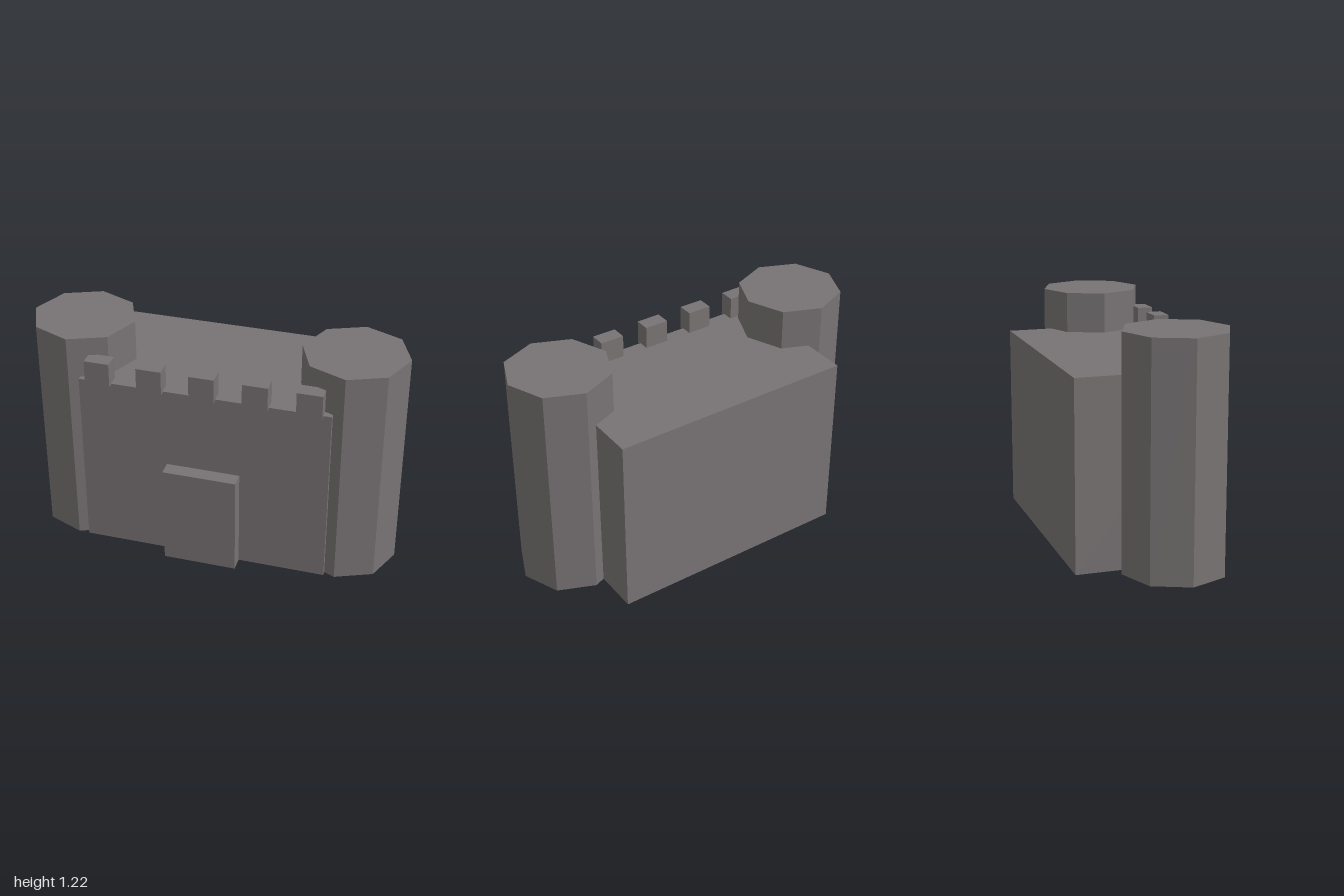
import * as THREE from 'three';

export function createModel() {
  const group = new THREE.Group();
  group.name = 'castle';
  const stone = new THREE.MeshStandardMaterial({ color: 0x787374 });
  stone.name = 'stoneGrey';
  stone.flatShading = true;

  const add = (name, geometry, x, y, z) => {
    const mesh = new THREE.Mesh(geometry, stone);
    mesh.name = name;
    mesh.position.set(x, y, z);
    group.add(mesh);
  };

  // Main hall
  add('keep', new THREE.BoxGeometry(1.332, 1, 0.775), 0, 0.5, -0.04);

  // Gate block, set into the front wall
  add('gate', new THREE.BoxGeometry(0.394, 0.556, 0.16), 0, 0.278, 0.347);

  // Eight-sided corner towers
  const tower = new THREE.CylinderGeometry(0.277, 0.277, 1.223, 8);
  for (const side of [-1, 1]) {
    add(side > 0 ? 'leftTower' : 'rightTower', tower, side * 0.723, 0.6115, 0.07);
  }

  // Battlements along the front edge
  const merlon = new THREE.BoxGeometry(0.133, 0.133, 0.084);
  for (let i = -2; i <= 2; i++) {
    add('merlon' + (i + 3), merlon, i * 0.278, 1.057, 0.328);
  }

  return group;
}
